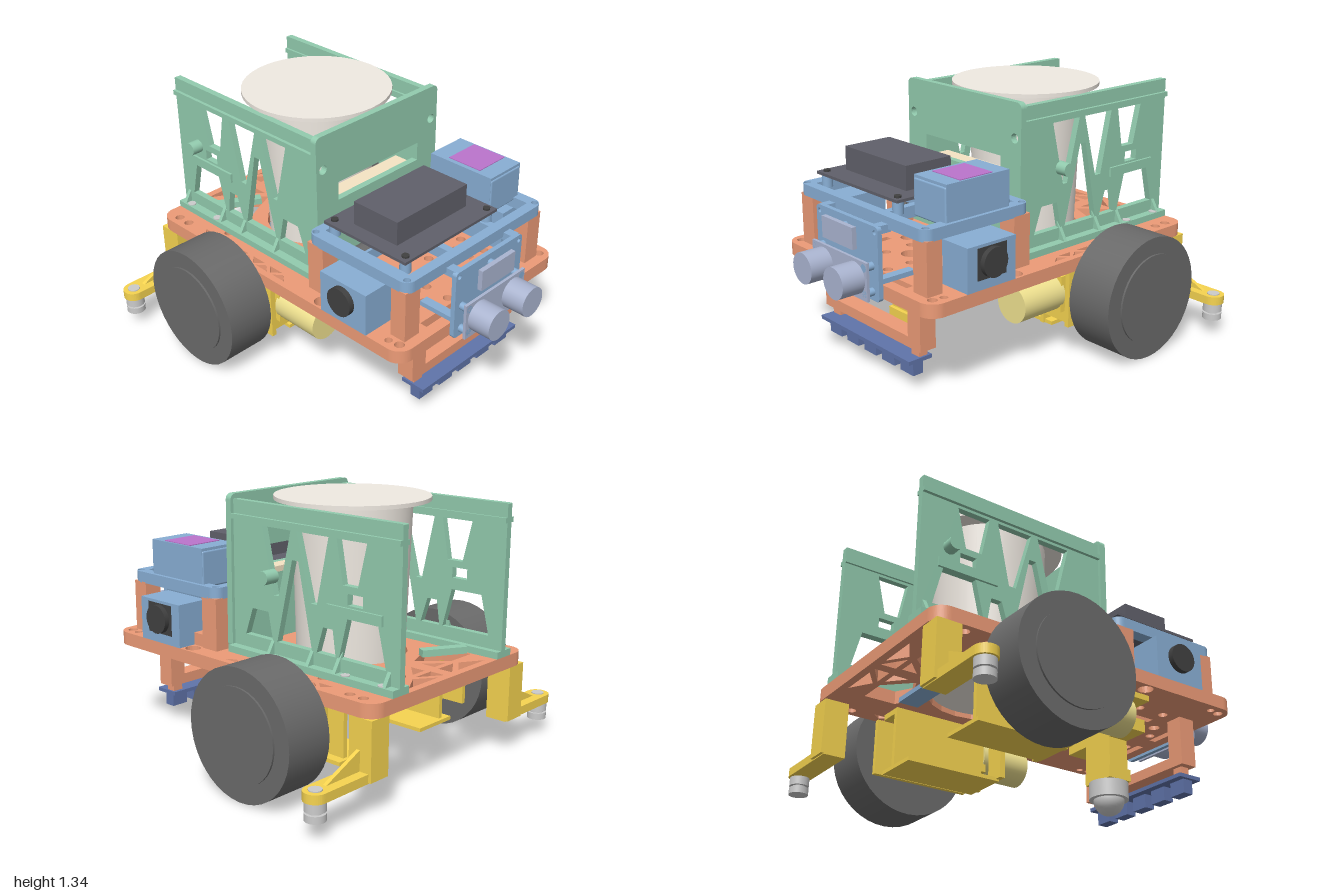
import * as THREE from 'three';
import { RoundedBoxGeometry } from 'three/addons/geometries/RoundedBoxGeometry.js';

const ORANGE = 0xec9b77, GREEN = 0x92cbae, BLUE = 0x88aed4, YELLOW = 0xf6d450, PALE = 0xf0e290,
  DARK = 0x6a6a6a, SCREEN = 0x60606a, BLACK = 0x404040, NAVY = 0x6074aa, LAVENDER = 0xaab4d0,
  PURPLE = 0xbb74cc, CUP = 0xf0eae2, BEIGE = 0xf5e4c4, METAL = 0xcccccc;

export function createModel() {
  const root = new THREE.Group();
  const materials = {};
  const mat = c => (materials[c] ??= new THREE.MeshStandardMaterial({ color: c }));

  function add(name, color, geometry) {
    const mesh = new THREE.Mesh(geometry, mat(color));
    mesh.name = name;
    root.add(mesh);
    return mesh;
  }
  // box given by its limits on each axis
  function box(name, color, x0, x1, y0, y1, z0, z1) {
    const g = new THREE.BoxGeometry(x1 - x0, y1 - y0, Math.abs(z1 - z0));
    return add(name, color, g.translate((x0 + x1) / 2, (y0 + y1) / 2, (z0 + z1) / 2));
  }
  // cylinder along an axis
  function cyl(name, color, axis, r, len, x, y, z, r2 = r) {
    const g = new THREE.CylinderGeometry(r2, r, len, 40);
    if (axis === 'x') g.rotateZ(-Math.PI / 2);
    if (axis === 'z') g.rotateX(Math.PI / 2);
    return add(name, color, g.translate(x, y, z));
  }
  // a hole is either [x, y, radius] or a list of corners
  const corners = points => points.map(p => new THREE.Vector2(p[0], p[1]));
  function toHole(h) {
    if (typeof h[0] === 'number') return new THREE.Path().absarc(h[0], h[1], h[2], 0, Math.PI * 2);
    return new THREE.Path(corners(h));
  }
  const rect = (x0, x1, y0, y1) => [[x0, y0], [x1, y0], [x1, y1], [x0, y1]];
  function roundRect(x0, x1, y0, y1, r) {
    const s = new THREE.Shape();
    s.absarc(x1 - r, y1 - r, r, 0, Math.PI / 2);
    s.absarc(x0 + r, y1 - r, r, Math.PI / 2, Math.PI);
    s.absarc(x0 + r, y0 + r, r, Math.PI, Math.PI * 1.5);
    s.absarc(x1 - r, y0 + r, r, Math.PI * 1.5, Math.PI * 2);
    return s;
  }
  function extrude(shape, holes, depth) {
    shape.holes = holes.map(toHole);
    return new THREE.ExtrudeGeometry(shape, { depth, bevelEnabled: false, curveSegments: 10 });
  }
  // flat plate lying in x and z
  const slab = (name, color, shape, holes, y0, y1) =>
    add(name, color, extrude(shape, holes, y1 - y0).rotateX(-Math.PI / 2).translate(0, y0, 0));
  // upright panel facing x
  const panel = (name, color, shape, holes, x0, x1) =>
    add(name, color, extrude(shape, holes, x1 - x0).rotateY(Math.PI / 2).translate(x0, 0, 0));
  const both = f => [1, -1].forEach(f);

  // chassis plate with truss windows, slots and round holes
  const holes = [[-0.35, 0, 0.29], [0.44, 0, 0.05]];
  both(s => {
    holes.push([[-0.85, 0.04 * s], [-0.77, 0.04 * s], [-0.85, 0.13 * s]]);
    holes.push([[-0.85, 0.18 * s], [-0.72, 0.05 * s], [-0.67, 0.17 * s], [-0.63, 0.25 * s], [-0.68, 0.34 * s], [-0.85, 0.34 * s]]);
    holes.push([[-0.96, 0.03 * s], [-0.88, 0.03 * s], [-0.88, 0.15 * s]]);
    holes.push([[-0.96, 0.08 * s], [-0.89, 0.18 * s], [-0.96, 0.3 * s]]);
    holes.push([0.235, 0.55 * s, 0.04], [-0.9, 0.545 * s, 0.025], [-0.82, 0.545 * s, 0.025], [-0.58, 0.46 * s, 0.025],
      [0.74, 0.54 * s, 0.025], [0.68, 0.55 * s, 0.02], [0.6, 0.2 * s, 0.03], [0.3, 0.2 * s, 0.04], [0.05, 0.28 * s, 0.03]);
    // alternating triangles along the sides
    for (let i = 0; i < 5; i++) {
      const x = -0.7 + i * 0.13;
      holes.push([[x, 0.52 * s], [x + 0.09, 0.52 * s], [x + 0.045, 0.56 * s]]);
      holes.push([[x + 0.065, 0.565 * s], [x + 0.155, 0.565 * s], [x + 0.11, 0.53 * s]]);
    }
    for (const x of [0.15, 0.36, 0.52, 0.66]) for (const z of [0.1, 0.36]) holes.push([x, z * s, 0.025]);
    holes.push(rect(0.38, 0.52, 0.24 * s, 0.28 * s), rect(0.7, 0.74, 0.05 * s, 0.35 * s));
  });
  slab('chassisPlate', ORANGE, roundRect(-1, 0.8, -0.6, 0.6, 0.08), holes, 0.47, 0.54);
  box('lowerBoard', BLUE, -0.71, -0.6, 0.435, 0.46, -0.24, 0.24);

  // cup standing in the carrier
  cyl('cupBody', CUP, 'y', 0.275, 0.82, -0.35, 0.9, 0, 0.3);
  cyl('cupLid', CUP, 'y', 0.39, 0.02, -0.35, 1.32, 0);
  box('cupStop', BEIGE, -0.02, 0.06, 0.92, 0.95, -0.25, 0.25);

  // carrier front wall
  panel('carrierFrontWall', GREEN, roundRect(-0.435, 0.435, 0.545, 1.335, 0.03),
    [rect(-0.29, 0.29, 0.95, 1.05), [-0.39, 1.155, 0.025], [0.39, 1.155, 0.025],
      [-0.39, 0.7, 0.025], [0.39, 0.7, 0.025]], 0.06, 0.095);

  // carrier side walls with truss windows
  const windows = [
    [[-0.8, 1.2], [-0.62, 1.2], [-0.66, 0.99], [-0.75, 0.99]],
    [[-0.57, 1.2], [-0.37, 1.2], [-0.46, 0.87], [-0.5, 0.87]],
    [[-0.33, 1.2], [-0.14, 1.2], [-0.22, 0.87], [-0.25, 0.87]],
    [[-0.92, 0.64], [-0.64, 0.64], [-0.69, 0.84], [-0.87, 0.84]],
    [[-0.62, 0.64], [-0.5, 0.64], [-0.54, 0.77], [-0.6, 0.77]],
    [[-0.47, 0.64], [-0.24, 0.64], [-0.34, 1.06], [-0.38, 1.06]],
    [[-0.21, 0.64], [-0.02, 0.64], [-0.07, 0.78], [-0.18, 0.78]],
    rect(-0.78, -0.69, 0.9, 0.955),
  ];
  both(s => {
    const wall = roundRect(-1, 0.06, 0.545, 1.31, 0.005);
    add('carrierSideWall', GREEN, extrude(wall, windows, 0.035).translate(0, 0, s * 0.4 - 0.0175));
    box('carrierRail', GREEN, -1, 0.06, 1.215, 1.24, s * 0.37, s * 0.435);
    box('carrierFoot', GREEN, -1, 0.06, 0.54, 0.575, s * 0.35, s * 0.465);
    for (const x of [-0.95, -0.65, -0.48, -0.22]) {
      const tri = new THREE.Shape(corners([[0, 0], [0.06, 0], [0, 0.1]]));
      const g = extrude(tri, [], 0.02).rotateY(-s * Math.PI / 2);
      add('carrierGusset', GREEN, g.translate(x, 0.57, s * 0.4));
    }
    for (const x of [-0.92, -0.7]) cyl('footScrew', METAL, 'y', 0.022, 0.02, x, 0.57, s * 0.44);
    box('wallBracket', GREEN, -0.9, -0.57, 0.84, 0.89, s * 0.39, s * 0.43);
    cyl('wallKnob', GREEN, 'z', 0.035, 0.08, s > 0 ? -0.84 : -0.2, 0.96, s * 0.44);
  });
  const brace = box('diagonalBrace', GREEN, -0.12, 0.12, 0.545, 0.58, -0.025, 0.025);
  brace.position.set(-0.76, 0, 0.23);
  brace.rotation.y = 1.05;

  both(s => {
    // drive wheel, motor and motor bracket
    cyl('wheel', DARK, 'z', 0.325, 0.26, -0.425, 0.325, s * 0.73);
    cyl('wheelHub', DARK, 'z', 0.235, 0.27, -0.425, 0.325, s * 0.735);
    cyl('axle', METAL, 'z', 0.03, 0.2, -0.425, 0.325, s * 0.52);
    cyl('motor', PALE, 'x', 0.1, 0.28, 0.025, 0.33, s * 0.455);
    box('gearbox', YELLOW, -0.55, -0.1, 0.235, 0.43, s * 0.37, s * 0.54);
    box('motorBracketWall', YELLOW, -0.65, -0.1, 0.17, 0.47, s * 0.57, s * 0.595);
    box('motorBracketFloor', YELLOW, -0.67, -0.14, 0.12, 0.14, s * 0.18, s * 0.44);
    box('motorBracketSide', YELLOW, -0.65, -0.13, 0.12, 0.47, s * 0.365, s * 0.39);
    box('motorBracketEnd', YELLOW, -0.16, -0.13, 0.175, 0.47, s * 0.39, s * 0.595);
    box('motorBracketInnerEnd', YELLOW, -0.16, -0.13, 0.13, 0.47, s * 0.14, s * 0.25);
    box('motorBracketFlange', YELLOW, -0.65, 0.3, 0.44, 0.47, s * 0.38, s * 0.5);

    // rear outrigger leg with its foot pad
    box('outriggerPost', YELLOW, -0.995, -0.865, 0.18, 0.47, s * 0.48, s * 0.6);
    const arm = new THREE.Shape();
    arm.moveTo(-0.98, s * 0.48).lineTo(-0.98, s * 0.88);
    arm.absarc(-0.9225, s * 0.88, 0.0575, Math.PI, 0, s > 0);
    arm.lineTo(-0.865, s * 0.48);
    slab('outriggerArm', YELLOW, arm, [], 0.175, 0.22);
    const rib = new THREE.Shape(corners([[0, 0], [0.24, 0], [0, 0.11]]));
    add('outriggerRib', YELLOW, extrude(rib, [], 0.02).rotateY(-s * Math.PI / 2)
      .translate(-0.92 + s * 0.01, 0.215, s * 0.59));
    cyl('footNut', METAL, 'y', 0.032, 0.05, -0.9225, 0.2, s * 0.88);
    cyl('footPad', METAL, 'y', 0.05, 0.045, -0.9225, 0.15, s * 0.88);
    cyl('footStem', METAL, 'y', 0.035, 0.06, -0.9225, 0.12, s * 0.88);
    cyl('footPad', METAL, 'y', 0.05, 0.035, -0.9225, 0.1, s * 0.88);

    // posts holding the upper deck
    box('deckPost', ORANGE, 0.1, 0.205, 0.53, 0.81, s * 0.41, s * 0.51);
    box('deckPost', ORANGE, 0.655, 0.745, 0.53, 0.81, s * 0.41, s * 0.51);
    box('deckRail', ORANGE, 0.1, 0.28, 0.53, 0.605, s * 0.42, s * 0.5);

    // side sensor housing
    box('sideSensorHousing', BLUE, 0.28, 0.58, 0.54, 0.765, s * 0.42, s * 0.6);
    cyl('sideSensorLens', BLACK, 'z', 0.075, 0.2, 0.43, 0.67, s * 0.53);
    cyl('innerCylinder', DARK, 'z', 0.05, 0.1, 0.25, 0.7, s * 0.27);

    // front bracket leg
    box('frontBracketLeg', ORANGE, 0.605, 0.7, 0.21, 0.47, s * 0.3, s * 0.395);
    box('lineSensorSpacer', ORANGE, 0.63, 0.68, 0.16, 0.22, s * 0.3, s * 0.36);
    // ranging sensor barrels
    cyl('rangeBarrel', LAVENDER, 'x', 0.08, 0.13, 0.935, 0.565, s * 0.13);
    for (const y of [0.5, 0.63]) cyl('rangeStandoff', BLUE, 'x', 0.02, 0.06, 0.845, y, s * 0.2);
    box('sensorPlateArm', BLUE, 0.6, 0.81, 0.54, 0.565, s * 0.19, s * 0.24);
    box('sensorPlateArm', BLUE, 0.74, 0.81, 0.79, 0.83, s * 0.19, s * 0.24);
  });
  box('sensorBoard', BLACK, 0.34, 0.52, 0.59, 0.75, -0.603, -0.59);

  // caster and its mount
  box('casterFlange', YELLOW, 0.37, 0.49, 0.4, 0.47, -0.25, 0.25);
  box('casterColumn', YELLOW, 0.37, 0.49, 0.2, 0.46, -0.1, 0.1);
  box('casterSeat', YELLOW, 0.365, 0.51, 0.175, 0.24, -0.1, 0.1);
  cyl('casterHousing', METAL, 'y', 0.105, 0.09, 0.44, 0.13, 0);
  add('casterBall', METAL, new THREE.SphereGeometry(0.082, 32, 20).translate(0.44, 0.082, 0));

  // line sensor strip under the front bracket
  box('frontBracketBar', ORANGE, 0.605, 0.7, 0.21, 0.265, -0.395, 0.395);
  box('lineSensorBoard', NAVY, 0.61, 0.75, 0.15, 0.17, -0.37, 0.37);
  for (let i = -2; i <= 2; i++)
    box('lineSensor', NAVY, 0.65, 0.71, 0.075, 0.155, i * 0.15 - 0.05, i * 0.15 + 0.05);

  // upper deck: open frame with crossbars
  const openings = [];
  for (const x of [0.155, 0.435])
    for (const z of [-0.44, -0.13, 0.18]) openings.push(rect(x, x + 0.265, z, z + 0.27));
  for (const x of [0.13, 0.725]) for (const z of [-0.48, 0.48]) openings.push([x, z, 0.018]);
  slab('upperDeck', BLUE, roundRect(0.1, 0.755, -0.51, 0.51, 0.05), openings, 0.805, 0.865);

  // display on standoffs
  for (const x of [0.19, 0.65]) for (const z of [-0.18, 0.41]) {
    cyl('displayStandoff', BLUE, 'y', 0.028, 0.07, x, 0.88, z);
    cyl('displayScrew', BLACK, 'y', 0.018, 0.02, x, 0.925, z);
  }
  box('displayBoard', SCREEN, 0.155, 0.685, 0.91, 0.925, -0.22, 0.45);
  box('displayBlock', SCREEN, 0.28, 0.56, 0.92, 1.05, -0.13, 0.37);

  // camera housing on the deck
  add('cameraHousing', BLUE, new RoundedBoxGeometry(0.4, 0.19, 0.235, 2, 0.01).translate(0.415, 0.94, -0.3725));
  box('cameraHousingTop', BLUE, 0.22, 0.61, 0.9, 1.048, -0.49, -0.255);
  box('cameraWindow', PURPLE, 0.32, 0.52, 1.0, 1.052, -0.48, -0.28);

  // front sensor plate
  panel('sensorPlate', BLUE, roundRect(-0.25, 0.25, 0.455, 0.83, 0.02),
    [[-0.225, 0.8, 0.012], [0.225, 0.8, 0.012]], 0.8, 0.825);
  box('rangeBoard', LAVENDER, 0.86, 0.875, 0.465, 0.66, -0.225, 0.225);
  box('smallSensor', LAVENDER, 0.855, 0.88, 0.7, 0.81, -0.125, 0.125);
  for (const y of [0.73, 0.78]) cyl('smallSensorStandoff', BLUE, 'x', 0.02, 0.05, 0.84, y, 0);

  return root;
}
